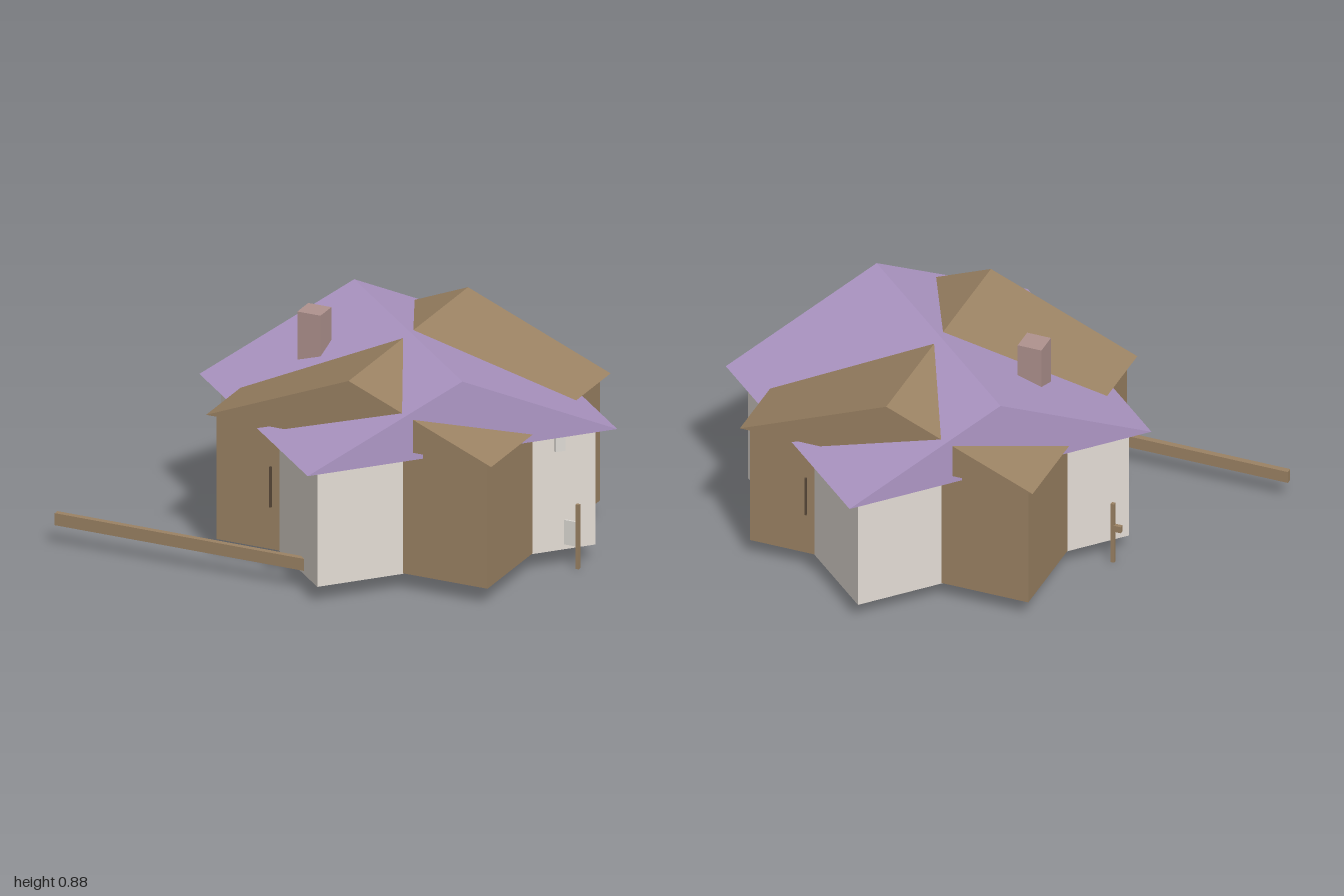
import * as THREE from 'three';

const paint = (name, color) => {
  const m = new THREE.MeshStandardMaterial({ color });
  m.name = name;
  return m;
};

export function createModel() {
  const plaster = paint('plaster', 0xe4ddd5);
  const wood = paint('wood', 0x9c8364);
  const purple = paint('purpleRoof', 0xae97c5);
  const brick = paint('chimneyBrick', 0xb0938f);
  const pale = paint('palePanel', 0xdedbd5);
  const dark = paint('darkMetal', 0x5a4a3a);

  const model = new THREE.Group();
  model.name = 'house';

  const add = (parent, name, geometry, material) => {
    const mesh = new THREE.Mesh(geometry, material);
    mesh.name = name;
    parent.add(mesh);
    return mesh;
  };
  // Box given by its minimum and maximum corners
  const box = (parent, name, material, a, b) => {
    const g = new THREE.BoxGeometry(b[0] - a[0], b[1] - a[1], b[2] - a[2]);
    g.translate((a[0] + b[0]) / 2, (a[1] + b[1]) / 2, (a[2] + b[2]) / 2);
    return add(parent, name, g, material);
  };
  // Solid gable roof with its ridge along z
  const gable = (parent, name, material, width, depth, eave, ridge) => {
    const shape = new THREE.Shape([
      new THREE.Vector2(-width / 2, eave),
      new THREE.Vector2(width / 2, eave),
      new THREE.Vector2(0, ridge),
    ]);
    const g = new THREE.ExtrudeGeometry(shape, { depth, bevelEnabled: false });
    g.translate(0, 0, -depth / 2);
    return add(parent, name, g, material);
  };

  // Two crossing wings share one centre
  const house = new THREE.Group();
  house.name = 'wings';
  house.position.x = 0.165;
  model.add(house);

  // Timber wing, square to the front
  box(house, 'timberWalls', wood, [-0.568, 0.072, -0.488], [0.568, 0.586, 0.488]);
  gable(house, 'timberRoof', wood, 1.196, 1.036, 0.585, 0.83);

  // Plastered wing, turned diagonally
  const diagonal = new THREE.Group();
  diagonal.name = 'plasterWing';
  diagonal.rotation.y = 0.832;
  house.add(diagonal);
  box(diagonal, 'plasterWalls', plaster, [-0.566, 0.07, -0.487], [0.566, 0.556, 0.487]);
  gable(diagonal, 'purpleRoof', purple, 1.26, 1.097, 0.555, 0.845);
  box(diagonal, 'wallPanel', pale, [0.4, 0.475, 0.485], [0.44, 0.556, 0.495]);

  box(model, 'chimney', brick, [-0.257, 0.62, -0.005], [-0.16, 0.88, 0.09]);

  // Slim door handles on the front and back timber walls
  for (const s of [1, -1]) {
    const z = s * 0.49;
    const x = 0.165 - s * 0.34;
    box(model, 'doorHandle', dark, [x - 0.004, 0.245, z - 0.006], [x + 0.004, 0.41, z + 0.006]);
  }

  // Posts at the side corners
  for (const x of [0.876, -0.548]) {
    box(model, 'post', wood, [x - 0.007, 0, -0.007], [x + 0.007, 0.262, 0.007]);
  }
  box(model, 'postPanel', pale, [0.82, 0.09, -0.004], [0.87, 0.19, 0.004]);
  box(model, 'postKnob', wood, [-0.583, 0.14, -0.008], [-0.553, 0.167, 0.008]);

  // Long low rail in front
  box(model, 'frontRail', wood, [-1, 0.085, 0.635], [0.045, 0.134, 0.658]);

  return model;
}
